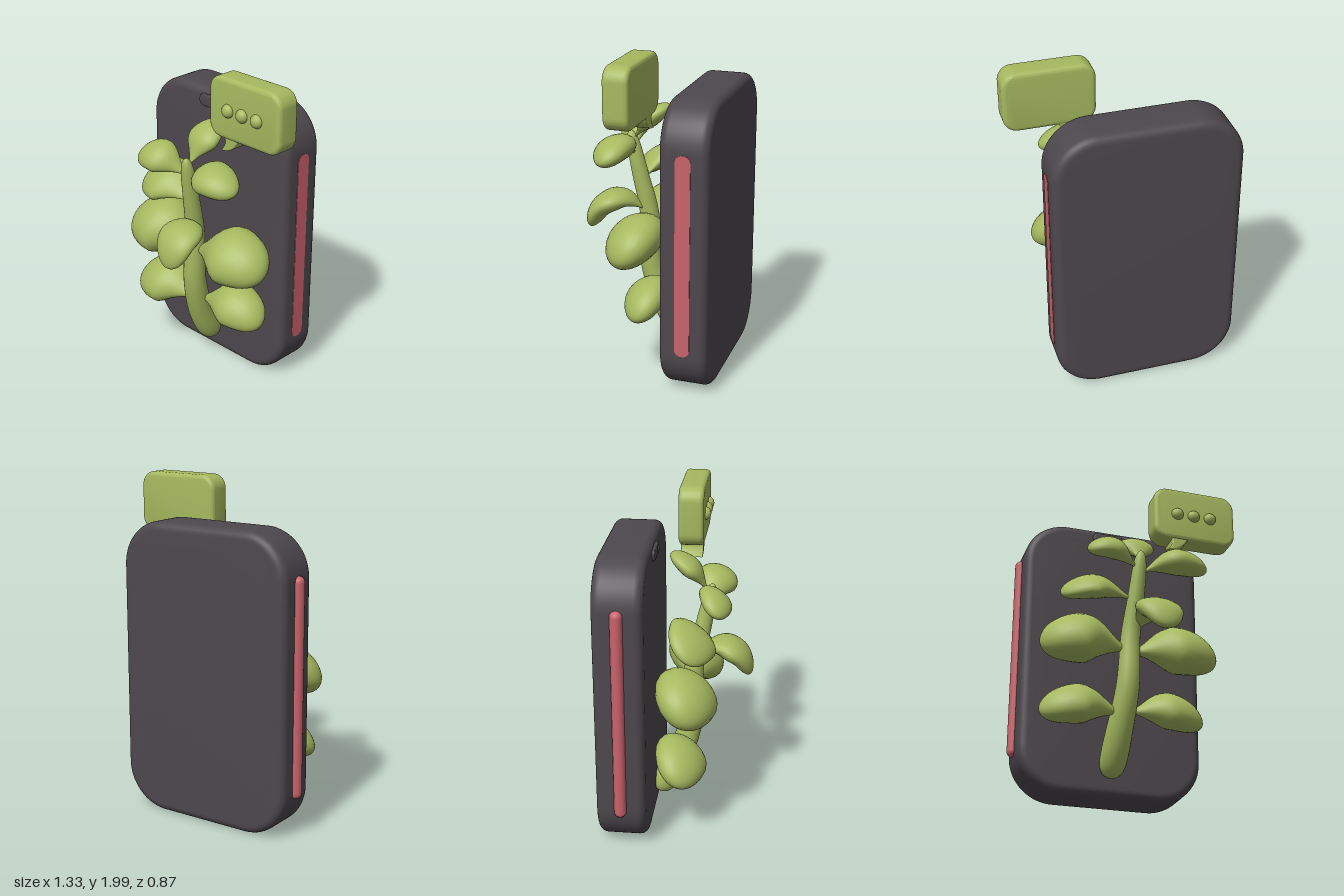
import * as THREE from 'three';
import { mergeVertices, toCreasedNormals } from 'three/addons/utils/BufferGeometryUtils.js';

const V = (p) => new THREE.Vector3(...p);

// Closed organic form: elliptical cross-sections along a curve, radii from profile(t)
function sweep(points, widthDir, profile, rings = 28, sides = 24) {
  const curve = new THREE.CatmullRomCurve3(points.map(V));
  const pos = [], index = [];
  for (let i = 0; i <= rings; i++) {
    const t = (1 - Math.cos((Math.PI * i) / rings)) / 2;
    const c = curve.getPointAt(t), T = curve.getTangentAt(t);
    const W = V(widthDir).addScaledVector(T, -V(widthDir).dot(T)).normalize();
    const N = T.clone().cross(W);
    const [w, h] = profile(t);
    for (let j = 0; j < sides; j++) {
      const a = (j / sides) * Math.PI * 2;
      const p = c.clone().addScaledVector(W, w * Math.cos(a)).addScaledVector(N, h * Math.sin(a));
      pos.push(p.x, p.y, p.z);
      if (i < rings) {
        const k = (j + 1) % sides, r = i * sides, s = r + sides;
        index.push(r + j, r + k, s + j, r + k, s + k, s + j);
      }
    }
  }
  const g = new THREE.BufferGeometry();
  g.setAttribute('position', new THREE.Float32BufferAttribute(pos, 3));
  g.setIndex(index);
  const merged = mergeVertices(g, 1e-5);
  merged.computeVertexNormals();
  return merged;
}

// Leaf: thin neck at the stem, full towards the tip
function leafGeometry(points, widthDir, w, h) {
  return sweep(points, widthDir, (t) => {
    const round = 2 * Math.sqrt(Math.max(0, t * (1 - t)));
    const r = round * (0.25 + 0.75 * THREE.MathUtils.smoothstep(t, 0, 0.55));
    return [w * r, h * r];
  });
}

function roundedRect(x0, y0, x1, y1, r) {
  const s = new THREE.Shape(), q = Math.PI / 2;
  s.absarc(x1 - r, y0 + r, r, -q, 0);
  s.absarc(x1 - r, y1 - r, r, 0, q);
  s.absarc(x0 + r, y1 - r, r, q, 2 * q);
  s.absarc(x0 + r, y0 + r, r, 2 * q, 3 * q);
  s.closePath();
  return s;
}

// Extruded plate between z0 and z1 with rounded rims, kept inside its outline
function plate(shape, z0, z1, bevel) {
  const g = new THREE.ExtrudeGeometry(shape, {
    depth: z1 - z0 - 2 * bevel, curveSegments: 14, bevelEnabled: bevel > 0,
    bevelThickness: bevel, bevelSize: bevel, bevelOffset: -bevel, bevelSegments: 6,
  });
  g.translate(0, 0, z0 + bevel);
  return toCreasedNormals(g, 0.6);
}

export function createModel() {
  const group = new THREE.Group();
  const material = (name, color) => {
    const m = new THREE.MeshStandardMaterial({ color });
    m.name = name;
    return m;
  };
  const dark = material('charcoal', 0x4d484d);
  const green = material('leafGreen', 0xa6b95f);
  const red = material('coralRed', 0xc9626b);
  const add = (name, geometry, mat) => {
    const mesh = new THREE.Mesh(geometry, mat);
    mesh.name = name;
    group.add(mesh);
    return mesh;
  };

  // Phone body with speaker slot and lens
  add('phoneBody', plate(roundedRect(-0.63, 0.01, 0.49, 1.77, 0.27), -0.44, -0.15, 0.05), dark);
  add('speakerSlot', plate(roundedRect(-0.205, 1.66, -0.005, 1.735, 0.036), -0.16, -0.135, 0.01), dark);
  const lens = add('lens', new THREE.SphereGeometry(0.022, 20, 12), dark);
  lens.position.set(-0.06, 1.698, -0.137);
  lens.scale.z = 0.5;

  // Raised bar on one side, flush painted strip on the other
  const bar = add('sideBar', new THREE.CapsuleGeometry(0.036, 1.218, 8, 20), red);
  bar.position.set(-0.629, 0.885, -0.295);
  const strip = add('sideStrip', plate(roundedRect(-0.045, -0.61, 0.045, 0.61, 0.04), 0, 0.006, 0), red);
  strip.rotation.y = Math.PI / 2;
  strip.position.set(0.487, 0.89, -0.295);

  // Tapered stem leaning out of the screen
  const stemPath = [[-0.085, 0.12, -0.14], [-0.07, 0.34, -0.02], [-0.04, 0.62, 0.065],
    [-0.025, 0.95, 0.075], [-0.005, 1.2, 0.125], [0.01, 1.47, 0.18]];
  add('stem', sweep(stemPath, [1, 0, 0], (t) => {
    const end = Math.sqrt(Math.max(0, 1 - Math.abs(2 * t - 1) ** 14));
    const r = THREE.MathUtils.lerp(0.088, 0.04, t) * end;
    return [r, r];
  }, 40), green);

  // Leaves: name, path, width direction, half width, half thickness
  const tilt = [0, -0.6, 0.8];
  const leaves = [
    ['topLeaf', [[0.01, 1.43, 0.15], [0.02, 1.55, 0.06], [0.03, 1.645, -0.07]], [1, 0, 0], 0.11, 0.055],
    ['upperRightLeaf', [[-0.01, 1.36, 0.16], [-0.18, 1.44, 0.21], [-0.335, 1.4, 0.225]], tilt, 0.11, 0.065],
    ['upperLeftLeaf', [[0.02, 1.34, 0.15], [0.22, 1.42, 0.19], [0.42, 1.38, 0.2]], [0, -0.35, 0.93], 0.125, 0.08],
    ['midRightLeaf', [[-0.02, 1.17, 0.11], [-0.25, 1.23, 0.09], [-0.455, 1.16, 0.07]], tilt, 0.16, 0.07],
    ['largeRightLeaf', [[-0.04, 0.85, 0.07], [-0.3, 0.895, 0.06], [-0.565, 0.83, 0.05]], tilt, 0.2, 0.145],
    ['largeLeftLeaf', [[-0.02, 0.84, 0.07], [0.27, 0.89, 0.06], [0.515, 0.83, 0.06]], tilt, 0.19, 0.14],
    ['lowRightLeaf', [[-0.06, 0.46, 0.03], [-0.31, 0.495, 0.03], [-0.55, 0.42, 0.02]], tilt, 0.17, 0.11],
    ['lowLeftLeaf', [[-0.02, 0.48, 0.02], [0.24, 0.52, 0], [0.445, 0.45, -0.01]], tilt, 0.15, 0.105],
    ['frontLeaf', [[0, 0.98, 0.08], [0.05, 1.055, 0.2], [0.08, 1.01, 0.33], [0.095, 0.87, 0.41]], [1, 0, 0], 0.14, 0.068],
  ];
  for (const [name, path, dir, w, h] of leaves) add(name, leafGeometry(path, dir, w, h), green);

  // Speech bubble with tail and three dots
  add('bubble', plate(roundedRect(0.125, 1.64, 0.66, 2, 0.085), -0.04, 0.11, 0.025), green);
  const tail = new THREE.Shape();
  tail.moveTo(0.23, 1.7);
  tail.lineTo(0.245, 1.62);
  tail.quadraticCurveTo(0.235, 1.585, 0.21, 1.56);
  tail.quadraticCurveTo(0.3, 1.56, 0.345, 1.645);
  tail.lineTo(0.37, 1.7);
  add('bubbleTail', plate(tail, -0.035, 0.1, 0.008), green);
  for (const x of [0.275, 0.383, 0.492]) {
    const dot = add('bubbleDot', new THREE.SphereGeometry(0.04, 24, 14), green);
    dot.position.set(x, 1.815, 0.107);
    dot.scale.z = 0.9;
  }
  return group;
}
